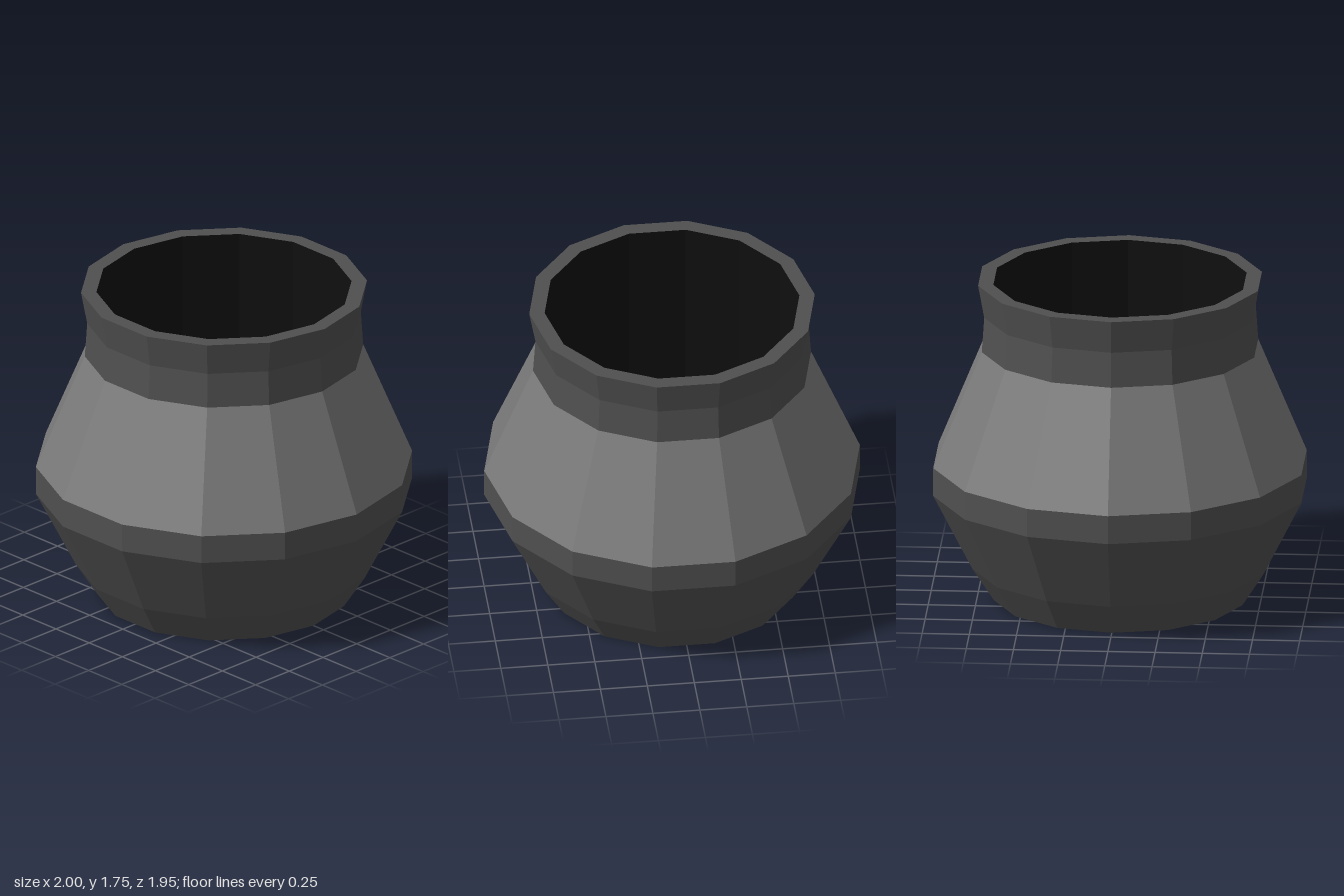
import * as THREE from 'three';

const SIDES = 14;

export function createModel() {
  const pot = new THREE.Group();
  pot.name = 'pot';

  const makeMaterial = (name, color) => {
    const material = new THREE.MeshStandardMaterial({ color, flatShading: true });
    material.name = name;
    return material;
  };
  const darkGrey = makeMaterial('dark grey', 0x505050);
  const midGrey = makeMaterial('mid grey', 0x797979);
  const black = makeMaterial('black', 0x0f0f0f);

  // Turns a [radius, height] profile into a faceted ring with a corner on the x axis
  const addRing = (name, material, profile) => {
    const points = profile.map(([r, y]) => new THREE.Vector2(r, y));
    const geometry = new THREE.LatheGeometry(points, SIDES, Math.PI / 2);
    const mesh = new THREE.Mesh(geometry, material);
    mesh.name = name;
    pot.add(mesh);
  };

  // Flat base, flared lower body and upright belly band
  addRing('lowerBody', darkGrey, [[0, 0], [0.675, 0], [0.79, 0.18], [1, 0.595], [1, 0.75]]);

  // Lighter sloping shoulder
  addRing('shoulder', midGrey, [[1, 0.75], [0.74, 1.38]]);

  // Pinched neck and flat rim
  addRing('neckAndRim', darkGrey, [[0.74, 1.38], [0.727, 1.57], [0.76, 1.75], [0.678, 1.75]]);

  // Dark hollow with inner walls and floor
  addRing('interior', black, [[0.678, 1.75], [0.678, 0.15], [0, 0.15]]);

  return pot;
}
